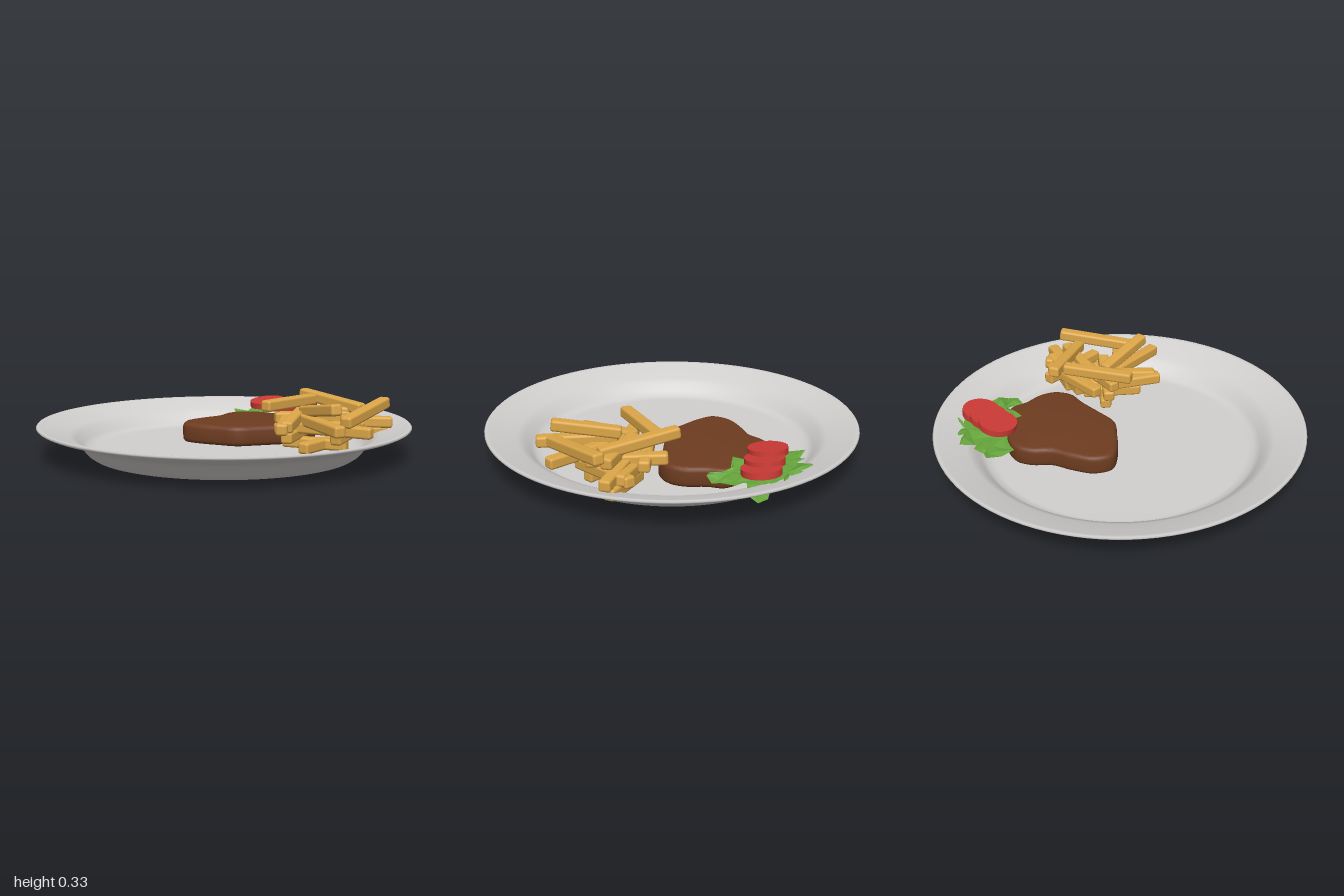
import * as THREE from 'three';
import { RoundedBoxGeometry } from 'three/addons/geometries/RoundedBoxGeometry.js';
import { toCreasedNormals } from 'three/addons/utils/BufferGeometryUtils.js';

function material(name, color, side = THREE.FrontSide) {
  const m = new THREE.MeshStandardMaterial({ color, side });
  m.name = name;
  return m;
}

function add(parent, name, geometry, mat) {
  const mesh = new THREE.Mesh(geometry, mat);
  mesh.name = name;
  parent.add(mesh);
  return mesh;
}

function addGroup(parent, name) {
  const group = new THREE.Group();
  group.name = name;
  parent.add(group);
  return group;
}

// Ruffled leaf: a raised middle, a wavy inner ring and a jagged outline of [x, y, z]
function leafGeometry(outline) {
  const edge = outline.map((p) => new THREE.Vector3(...p));
  const centre = new THREE.Vector3();
  edge.forEach((p) => centre.addScaledVector(p, 1 / edge.length));
  const ring = edge.map((p, i) => {
    const q = p.clone().lerp(centre, 0.4);
    q.y += i % 2 ? 0.008 : -0.004;
    return q;
  });
  const points = [];
  edge.forEach((p, i) => {
    const j = (i + 1) % edge.length;
    points.push(centre, ring[j], ring[i], ring[i], ring[j], p, p, ring[j], edge[j]);
  });
  const geometry = new THREE.BufferGeometry().setFromPoints(points);
  geometry.computeVertexNormals();
  return geometry;
}

export function createModel() {
  const model = new THREE.Group();
  model.name = 'dinnerPlate';
  const china = material('china', 0xd2d0ce);
  const meat = material('meat', 0x6e3c20);
  const potato = material('potato', 0xdca648);
  const tomatoRed = material('tomatoRed', 0xcc3a35);
  const lettuceGreen = material('lettuceGreen', 0x66a53c, THREE.DoubleSide);

  // Plate: underside, rim, then the inside back to the middle
  const profile = [
    [0, 0], [0.69, 0], [0.71, 0.003], [0.735, 0.02], [0.765, 0.055], [0.79, 0.085], [0.82, 0.1],
    [0.9, 0.124], [0.975, 0.147], [0.994, 0.156], [1, 0.164], [0.994, 0.171], [0.975, 0.168],
    [0.9, 0.142], [0.83, 0.12], [0.79, 0.1], [0.76, 0.06], [0.73, 0.038], [0.69, 0.03], [0, 0.03],
  ].map(([x, y]) => new THREE.Vector2(x, y));
  add(model, 'plate', new THREE.LatheGeometry(profile, 96), china);

  // Steak: outline as [x, z], extruded upward with rounded edges
  const outline = [
    [-0.14, -0.235], [-0.085, -0.325], [0.03, -0.375], [0.14, -0.405], [0.22, -0.47], [0.31, -0.495],
    [0.41, -0.45], [0.49, -0.34], [0.57, -0.28], [0.6, -0.21], [0.575, -0.13], [0.565, -0.02],
    [0.52, 0.06], [0.43, 0.1], [0.325, 0.075], [0.19, 0.055], [0.06, 0.03], [-0.02, -0.05], [-0.1, -0.145],
  ].map(([x, z]) => new THREE.Vector3(x, -z, 0));
  const curve = new THREE.CatmullRomCurve3(outline, true);
  const steakShape = new THREE.Shape(curve.getPoints(76).slice(0, -1).map((p) => new THREE.Vector2(p.x, p.y)));
  const steak = new THREE.ExtrudeGeometry(steakShape, {
    depth: 0.06, bevelThickness: 0.025, bevelSize: 0.025, bevelOffset: -0.025, bevelSegments: 4,
  });
  steak.rotateX(-Math.PI / 2).translate(0, 0.055, 0);
  add(model, 'steak', toCreasedNormals(steak, 0.7), meat);

  // Fries: the two ends of each, as x, y, z, x, y, z
  const fries = addGroup(model, 'fries');
  [
    [0.475, 0.3, 0.0, 0.62, 0.255, 0.4],
    [0.12, 0.28, 0.255, 0.485, 0.28, 0.105],
    [0.38, 0.23, 0.635, 0.765, 0.285, 0.395],
    [0.335, 0.3, 0.635, 0.335, 0.245, 0.28],
    [0.31, 0.2, 0.715, 0.315, 0.21, 0.3],
    [0.1, 0.19, 0.485, 0.27, 0.2, 0.22],
    [0.13, 0.2, 0.48, 0.36, 0.23, 0.21],
    [0.37, 0.23, 0.22, 0.7, 0.23, 0.37],
    [0.53, 0.17, 0.65, 0.28, 0.17, 0.31],
    [0.82, 0.17, 0.38, 0.5, 0.18, 0.24],
    [0.57, 0.2, 0.06, 0.55, 0.19, 0.465],
    [0.66, 0.19, 0.185, 0.26, 0.19, 0.13],
    [0.76, 0.17, 0.31, 0.4, 0.14, 0.15],
    [0.2, 0.21, 0.21, 0.62, 0.21, 0.33],
    [0.17, 0.13, 0.4, 0.4, 0.13, 0.17],
    [0.5, 0.18, 0.47, 0.22, 0.15, 0.18],
    [0.81, 0.12, 0.36, 0.52, 0.1, 0.2],
    [0.4, 0.12, 0.5, 0.76, 0.16, 0.25],
    [0.26, 0.08, 0.2, 0.5, 0.08, 0.46],
    [0.24, 0.08, 0.45, 0.56, 0.08, 0.28],
  ].forEach(([ax, ay, az, bx, by, bz], i) => {
    const a = new THREE.Vector3(ax, ay, az);
    const b = new THREE.Vector3(bx, by, bz);
    const fry = add(fries, `fry${i + 1}`, new RoundedBoxGeometry(0.062, 0.06, a.distanceTo(b), 2, 0.014), potato);
    fry.position.copy(a).lerp(b, 0.5);
    fry.lookAt(b);
  });

  // Lettuce leaves, outlines as [x, y, z]
  const lettuce = addGroup(model, 'lettuce');
  [
    [[0.32, 0.11, -0.49], [0.33, 0.11, -0.58], [0.36, 0.13, -0.66], [0.42, 0.11, -0.62], [0.47, 0.13, -0.64],
      [0.53, 0.11, -0.53], [0.54, 0.12, -0.45], [0.43, 0.12, -0.4]],
    [[0.5, 0.12, -0.6], [0.55, 0.135, -0.66], [0.6, 0.115, -0.67], [0.64, 0.135, -0.59], [0.72, 0.12, -0.53],
      [0.76, 0.14, -0.48], [0.79, 0.13, -0.45], [0.7, 0.13, -0.36], [0.56, 0.135, -0.4], [0.47, 0.13, -0.48]],
    [[0.64, 0.12, -0.55], [0.75, 0.125, -0.51], [0.78, 0.14, -0.42], [0.85, 0.095, -0.39], [0.87, 0.085, -0.34],
      [0.82, 0.1, -0.3], [0.76, 0.14, -0.3], [0.74, 0.13, -0.25], [0.62, 0.14, -0.27], [0.55, 0.13, -0.4]],
    [[0.5, 0.145, -0.34], [0.47, 0.152, -0.27], [0.59, 0.15, -0.26], [0.6, 0.13, -0.2], [0.58, 0.12, -0.14],
      [0.64, 0.13, -0.12], [0.7, 0.115, -0.14], [0.73, 0.13, -0.18], [0.745, 0.12, -0.25], [0.72, 0.14, -0.33],
      [0.6, 0.14, -0.38]],
  ].forEach((points, i) => add(lettuce, `leaf${i + 1}`, leafGeometry(points), lettuceGreen));

  // Tomato slices, overlapping and leaning down to the outside
  const tomato = addGroup(model, 'tomatoSlices');
  const slice = toCreasedNormals(new THREE.CylinderGeometry(0.102, 0.102, 0.034, 32), 0.7);
  [[0.48, 0.188, -0.445], [0.575, 0.174, -0.415], [0.665, 0.16, -0.385]].forEach((position, i) => {
    const mesh = add(tomato, `slice${i + 1}`, slice, tomatoRed);
    mesh.position.set(...position);
    mesh.rotation.set(0.05, 0, 0.12);
  });

  return model;
}
